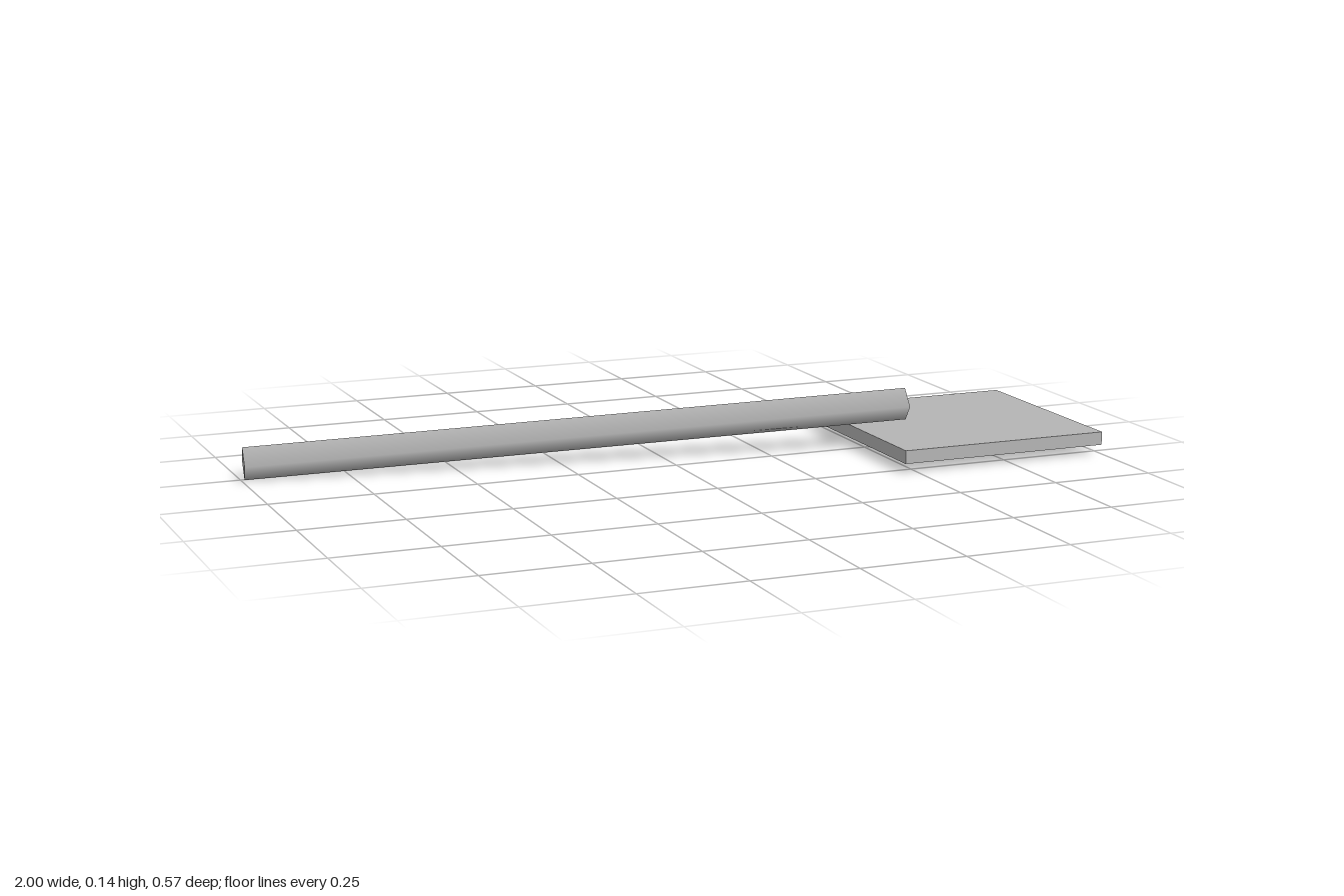
import * as THREE from 'three';

export function createModel() {
  const group = new THREE.Group();
  const grey = new THREE.MeshStandardMaterial({ color: 0xb4b4b4 });
  grey.name = 'plain grey';

  // Flat square blade
  const blade = new THREE.Mesh(new THREE.BoxGeometry(0.532, 0.032, 0.532), grey);
  blade.name = 'blade';
  blade.position.set(0.734, 0.041, 0.019);
  group.add(blade);

  // Four-sided handle with smooth sides, corners pointing up, down and sideways
  const start = new THREE.Vector3(-0.993, 0.0415, -0.246);
  const end = new THREE.Vector3(0.599, 0.1075, 0.021);
  const geometry = new THREE.CylinderGeometry(0.0395, 0.0395, start.distanceTo(end), 4);
  geometry.rotateX(Math.PI / 2);
  const handle = new THREE.Mesh(geometry, grey);
  handle.name = 'handle';
  handle.position.addVectors(start, end).multiplyScalar(0.5);
  handle.lookAt(end);
  group.add(handle);

  return group;
}
